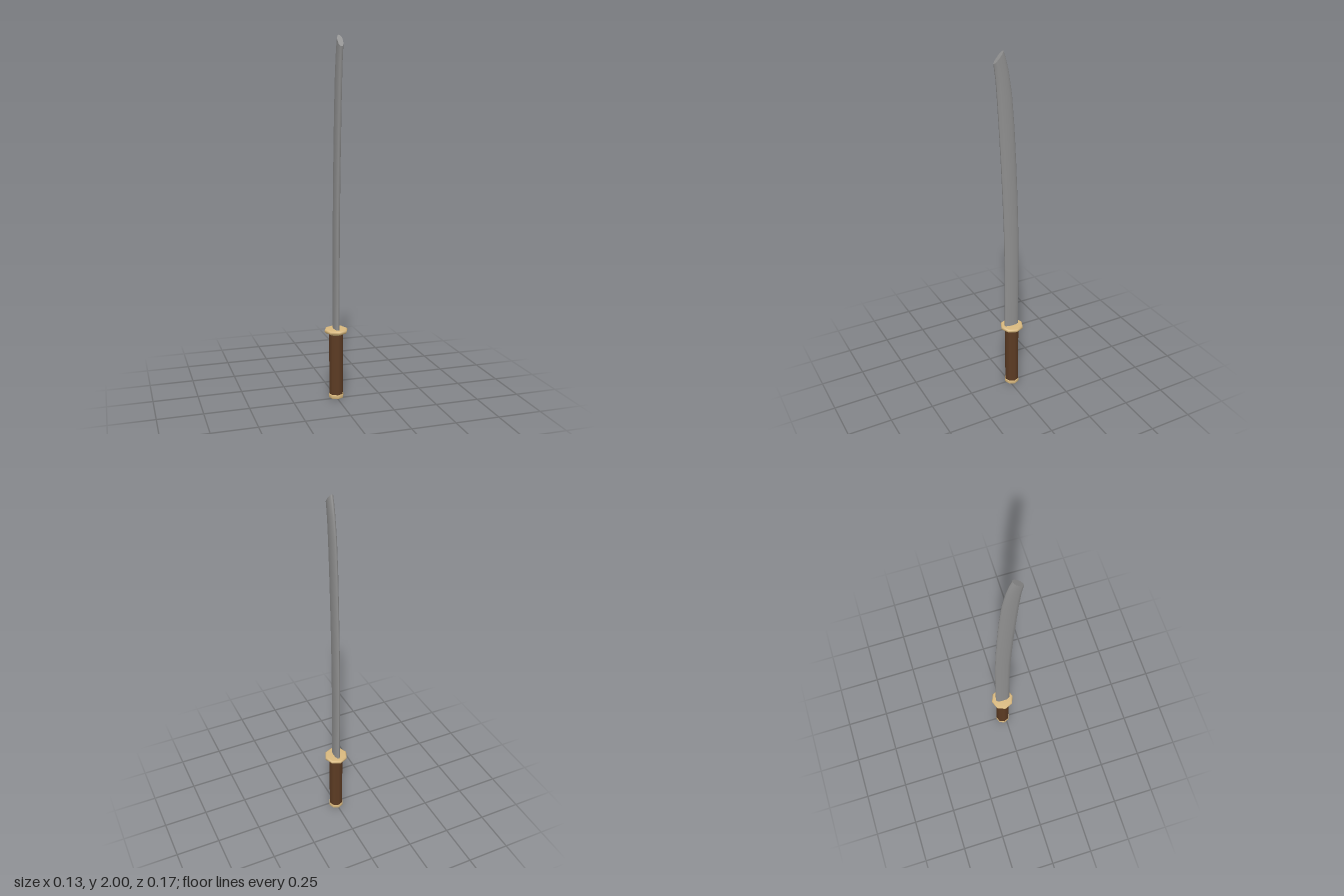
import * as THREE from 'three';

const steel = new THREE.MeshStandardMaterial({ color: 0x8f8f8f });
steel.name = 'steel';
const wood = new THREE.MeshStandardMaterial({ color: 0x5c3b23 });
wood.name = 'brown grip';
const brass = new THREE.MeshStandardMaterial({ color: 0xd8b87e });
brass.name = 'brass';

const AXIS_Z = -0.018; // centre line of the hilt

// Eight-sided turned part from a [radius, y] profile
function turned(name, profile, material) {
  const points = profile.map(([r, y]) => new THREE.Vector2(r, y));
  const mesh = new THREE.Mesh(new THREE.LatheGeometry(points, 8), material);
  mesh.name = name;
  mesh.position.z = AXIS_Z;
  return mesh;
}

// Curved blade, lofted through sections that tilt into the slanted tip
function bladeGeometry() {
  // [edge y, edge z, spine y, spine z]
  const stations = [
    [0.39, 0.026, 0.39, -0.059], [0.8, 0.026, 0.8, -0.059], [1.0, 0.029, 1.0, -0.057],
    [1.2, 0.036, 1.2, -0.051], [1.4, 0.045, 1.4, -0.042], [1.6, 0.056, 1.6, -0.031],
    [1.75, 0.065, 1.78, -0.016], [1.86, 0.073, 1.9, 0.003], [1.92, 0.081, 1.96, 0.018],
    [1.94, 0.084, 2.0, 0.031],
  ];
  // [fraction from edge to spine, half thickness]
  const side = [[0, 0.005], [0.2, 0.013], [0.5, 0.015], [0.75, 0.014], [0.93, 0.008], [1, 0.002]];
  const section = [...side, ...side.map(([t, w]) => [t, -w]).reverse()];
  const n = section.length;
  const positions = [], index = [];
  const addRing = ([ey, ez, sy, sz]) => {
    for (const [t, w] of section) {
      positions.push(w, ey + (sy - ey) * t, ez + (sz - ez) * t);
    }
  };
  stations.forEach(addRing);
  for (let i = 0; i < stations.length - 1; i++) {
    for (let j = 0; j < n; j++) {
      const a = i * n + j, b = i * n + (j + 1) % n;
      index.push(a, b, b + n, a, b + n, a + n);
    }
  }
  // Slanted tip and hidden base are closed with their own rings for crisp edges
  const tip = positions.length / 3;
  addRing(stations[stations.length - 1]);
  const base = positions.length / 3;
  addRing(stations[0]);
  for (let j = 1; j < n - 1; j++) {
    index.push(tip, tip + j, tip + j + 1, base, base + j + 1, base + j);
  }
  const geometry = new THREE.BufferGeometry();
  geometry.setAttribute('position', new THREE.Float32BufferAttribute(positions, 3));
  geometry.setIndex(index);
  geometry.computeVertexNormals();
  return geometry;
}

export function createModel() {
  const group = new THREE.Group();
  group.name = 'sword';

  const blade = new THREE.Mesh(bladeGeometry(), steel);
  blade.name = 'blade';
  group.add(blade);

  // Hilt
  group.add(turned('grip', [[0.04, 0.02], [0.04, 0.38]], wood));
  group.add(turned('pommel', [
    [0, 0], [0.039, 0], [0.039, 0], [0.043, 0.005], [0.043, 0.019], [0.04, 0.024], [0, 0.024],
  ], brass));
  group.add(turned('collar', [[0, 0.373], [0.042, 0.373], [0.042, 0.388]], brass));
  group.add(turned('guard', [
    [0, 0.382], [0.06, 0.382], [0.065, 0.386], [0.067, 0.393], [0.065, 0.4], [0.058, 0.404], [0, 0.404],
  ], brass));

  return group;
}
